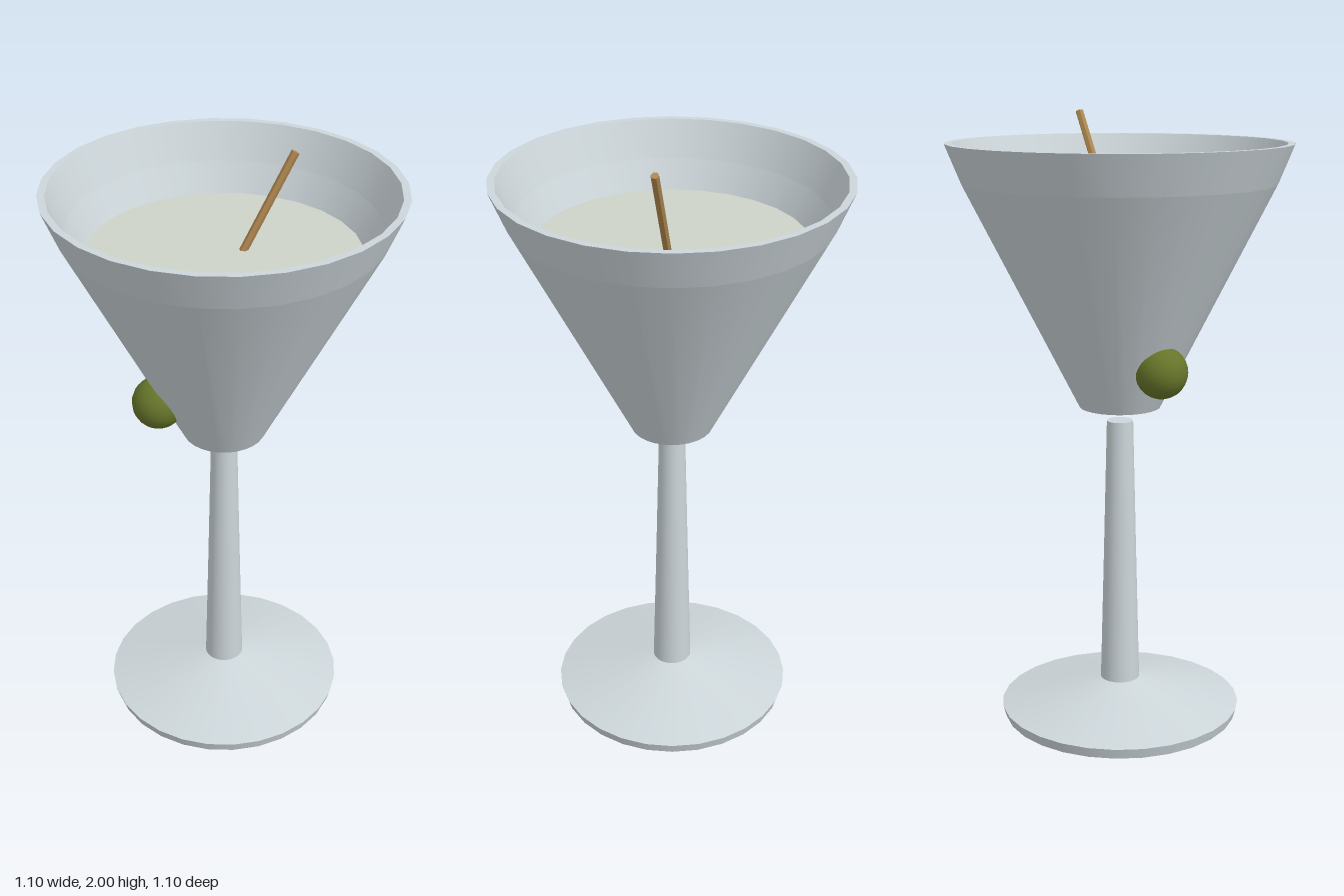
import * as THREE from 'three';

const SEGMENTS = 28;

// Revolves straight profile segments; each [r, y] pair of points gets its own crisp band.
function turned(name, profile, material, segments = SEGMENTS) {
  const group = new THREE.Group();
  group.name = name;
  for (let i = 0; i < profile.length - 1; i++) {
    const points = [profile[i], profile[i + 1]].map(([r, y]) => new THREE.Vector2(r, y));
    const band = new THREE.Mesh(new THREE.LatheGeometry(points, segments), material);
    band.name = `${name}Band${i + 1}`;
    group.add(band);
  }
  return group;
}

export function createModel() {
  const model = new THREE.Group();
  model.name = 'cocktailGlass';

  const glass = new THREE.MeshStandardMaterial({ color: 0xccd5d9, side: THREE.DoubleSide });
  const drink = new THREE.MeshStandardMaterial({ color: 0xcdd3c8 });
  const wood = new THREE.MeshStandardMaterial({ color: 0xb08850, flatShading: true });
  const green = new THREE.MeshStandardMaterial({ color: 0x66752a });

  // Foot: thin disc with a shallow cone on top
  model.add(turned('foot', [[0, 0], [0.39, 0], [0.4, 0.035], [0.065, 0.117], [0, 0.117]], glass));

  // Stem: gently tapered, ending just below the bowl
  model.add(turned('stem', [[0.065, 0.115], [0.054, 0.55], [0.043, 1.012], [0, 1.012]], glass));

  // Bowl: outer wall, flat rim and inner wall
  model.add(turned('bowl', [
    [0, 1.038], [0.132, 1.06], [0.497, 1.78], [0.548, 1.905],
    [0.525, 1.905], [0.474, 1.79], [0.11, 1.085], [0, 1.075],
  ], glass));

  // Drink filling the lower part of the bowl
  model.add(turned('drink', [[0, 1.085], [0.105, 1.09], [0.424, 1.7], [0, 1.7]], drink));

  // Olive, poking through the bowl wall
  const olive = new THREE.Mesh(new THREE.SphereGeometry(0.084, 20, 14), green);
  olive.name = 'olive';
  olive.position.set(-0.217, 1.208, 0);
  model.add(olive);

  // Pick running from the olive up past the rim
  const top = new THREE.Vector3(0.22, 1.994, 0);
  const bottom = new THREE.Vector3(-0.21, 1.19, 0);
  const along = top.clone().sub(bottom);
  const pick = new THREE.Mesh(new THREE.CylinderGeometry(0.013, 0.013, along.length(), 6), wood);
  pick.name = 'pick';
  pick.position.copy(top).add(bottom).multiplyScalar(0.5);
  pick.quaternion.setFromUnitVectors(new THREE.Vector3(0, 1, 0), along.normalize());
  model.add(pick);

  return model;
}
